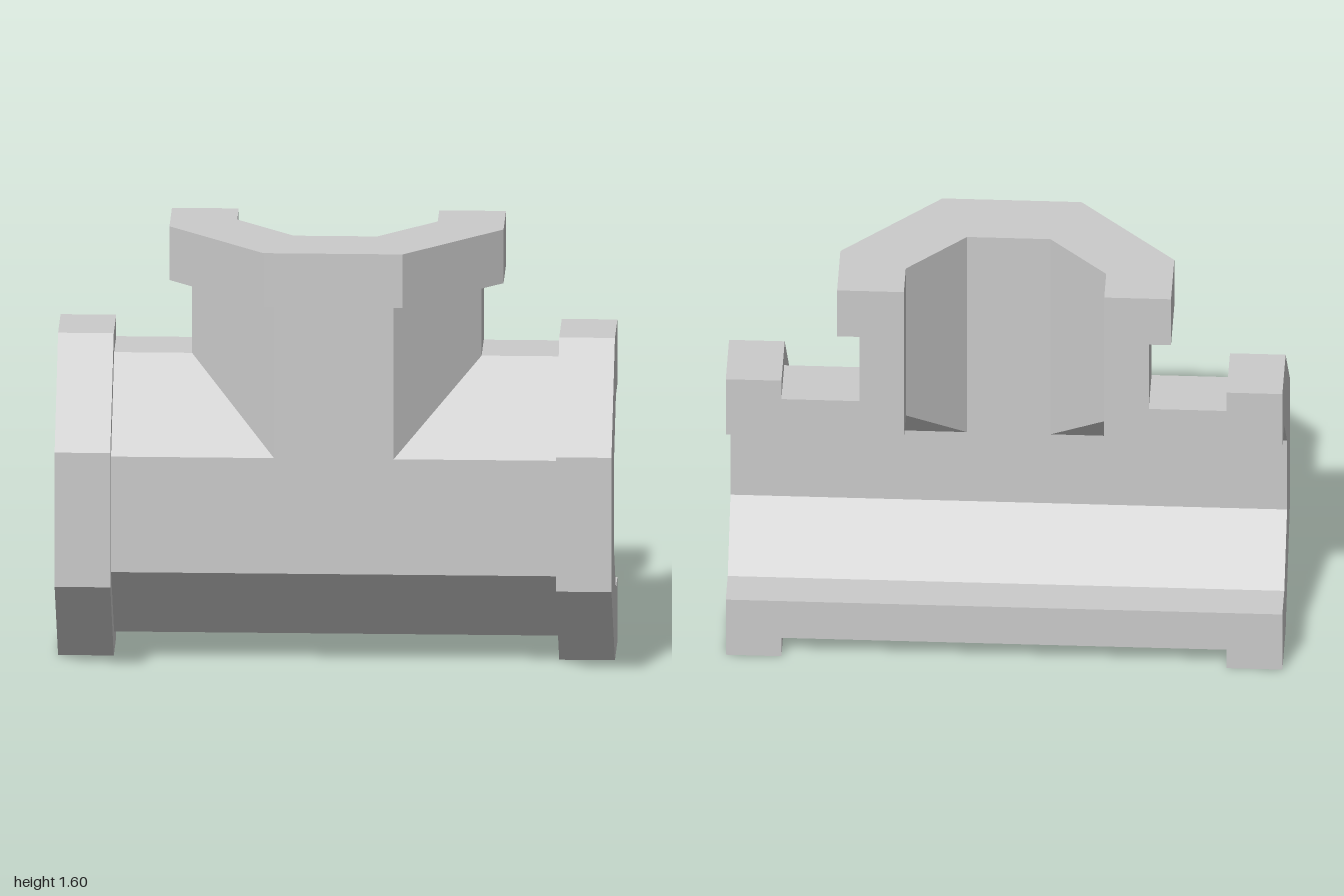
import * as THREE from 'three';

const BACK = -0.3;      // plane of the lengthwise cut
const AXIS_Y = 0.6;     // height where the three arms meet
const PIPE_LENGTH = 0.8;
const FLANGE_LENGTH = 0.2;

// Half-octagon outline [r, z]: w = half width, f = half of the front flat,
// side = where the bevel starts, front = z of the front flat
const halfOctagon = (w, f, side, front) => [
  [-w, BACK], [-w, side], [-f, front], [0, front], [f, front], [w, side], [w, BACK],
];
const BORE = halfOctagon(0.36, 0.15, -0.15, 0.06);
const PIPE = halfOctagon(0.52, 0.215, -0.085, 0.22);
const FLANGE = halfOctagon(0.6, 0.25, -0.05, 0.3);

// C-shaped wall between an outer outline and the bore, extruded along +y
function wall(outer, length) {
  const outline = [...outer, ...[...BORE].reverse()];
  const shape = new THREE.Shape(outline.map(([r, z]) => new THREE.Vector2(r, -z)));
  return new THREE.ExtrudeGeometry(shape, { depth: length, bevelEnabled: false }).rotateX(-Math.PI / 2);
}

// Pipe wall without end caps, its lower end cut to a mitre given by start(r)
function mitredPipe(start) {
  const full = wall(PIPE, PIPE_LENGTH);
  const sides = full.groups[1];
  const pos = full.getAttribute('position').array.slice(sides.start * 3, (sides.start + sides.count) * 3);
  for (let i = 0; i < pos.length; i += 3) {
    if (pos[i + 1] < 0.01) pos[i + 1] = start(pos[i]);
  }
  const geometry = new THREE.BufferGeometry();
  geometry.setAttribute('position', new THREE.BufferAttribute(pos, 3));
  geometry.computeVertexNormals();
  return geometry;
}

export function createModel() {
  const model = new THREE.Group();
  model.name = 'halfPipeTee';
  const material = new THREE.MeshStandardMaterial({ color: 0xcccccc, flatShading: true });

  // Each arm is a mitred pipe ending in a flange
  const arms = [
    { name: 'branch', angle: 0, start: (r) => Math.abs(r) },
    { name: 'left', angle: -Math.PI / 2, start: (r) => Math.max(-r, 0) },
    { name: 'right', angle: Math.PI / 2, start: (r) => Math.max(r, 0) },
  ];
  for (const { name, angle, start } of arms) {
    const arm = new THREE.Group();
    arm.name = `${name}Arm`;

    const pipe = new THREE.Mesh(mitredPipe(start), material);
    pipe.name = `${name}Pipe`;

    const flange = new THREE.Mesh(wall(FLANGE, FLANGE_LENGTH), material);
    flange.name = `${name}Flange`;
    flange.position.y = PIPE_LENGTH;

    arm.add(pipe, flange);
    arm.position.y = AXIS_Y;
    arm.rotation.z = angle;
    model.add(arm);
  }
  return model;
}
